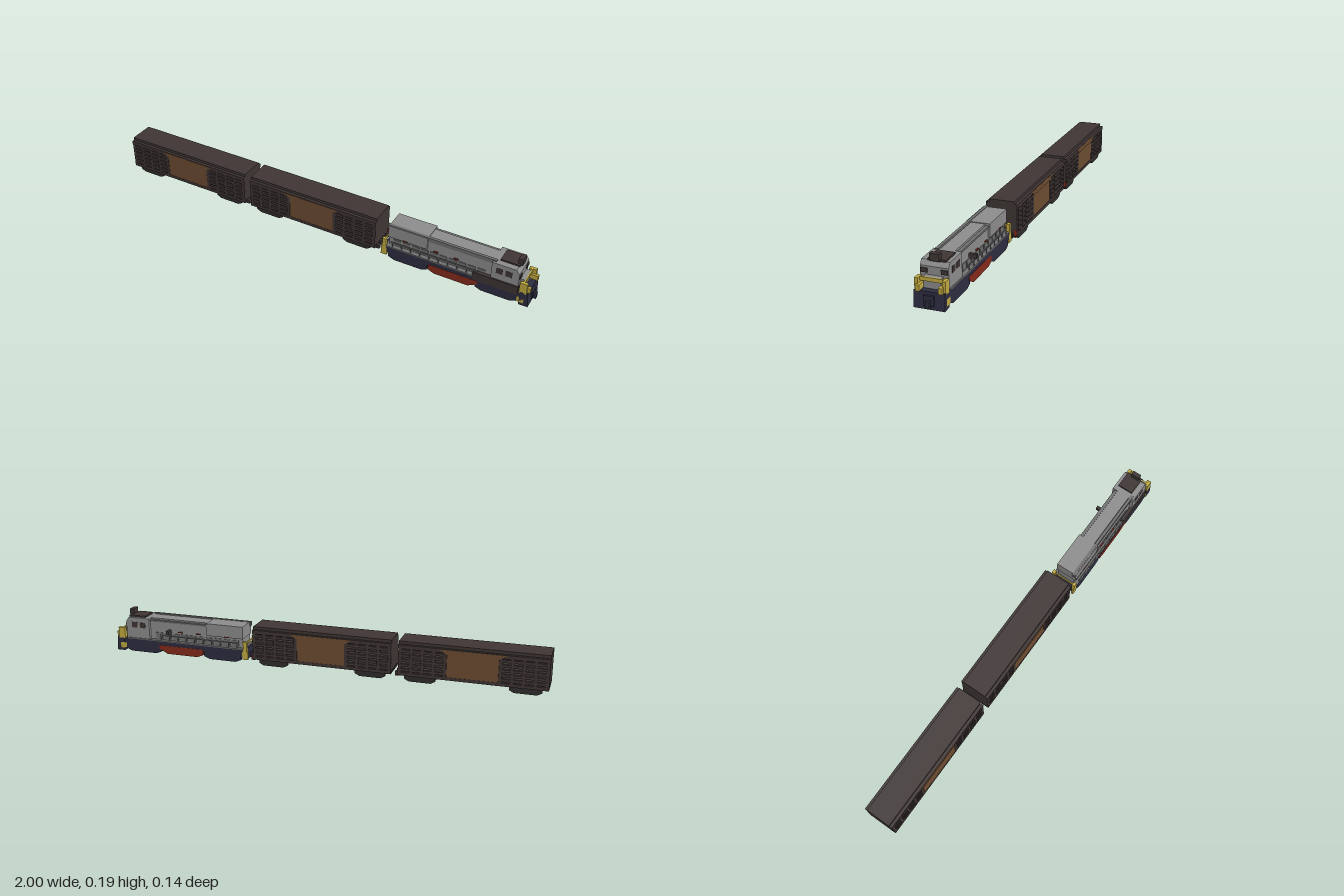
import * as THREE from 'three';

const mat = (name, color) => {
  const m = new THREE.MeshStandardMaterial({ color });
  m.name = name;
  return m;
};

export function createModel() {
  const M = {
    car: mat('dark umber', 0x3e3534),
    under: mat('charcoal', 0x2f2d2c),
    wall: mat('wall grey', 0x484341),
    door: mat('door brown', 0x6c4b31),
    grey: mat('hood grey', 0x8c8c8c),
    light: mat('rail grey', 0x707070),
    navy: mat('navy', 0x2c2c40),
    yellow: mat('yellow', 0xc0aa40),
    red: mat('brick red', 0x842a1b),
  };

  // Box given by its limits on each axis
  function box(parent, name, m, x0, x1, y0, y1, z0, z1) {
    const mesh = new THREE.Mesh(new THREE.BoxGeometry(x1 - x0, y1 - y0, z1 - z0), m);
    mesh.position.set((x0 + x1) / 2, (y0 + y1) / 2, (z0 + z1) / 2);
    mesh.name = name;
    parent.add(mesh);
    return mesh;
  }
  // Outline in x, y extruded along z
  function slab(parent, name, m, pts, z0, z1) {
    const shape = new THREE.Shape(pts.map(p => new THREE.Vector2(p[0], p[1])));
    const mesh = new THREE.Mesh(new THREE.ExtrudeGeometry(shape, { depth: z1 - z0, bevelEnabled: false }), m);
    mesh.position.z = z0;
    mesh.name = name;
    parent.add(mesh);
    return mesh;
  }
  // Two-axle truck with wheels, side frames and a bolster
  function truck(parent, cx, len, top, halfW, frame, axles) {
    const g = new THREE.Group();
    g.name = 'truck';
    g.position.x = cx;
    const h = len / 2;
    for (const s of [-1, 1]) {
      const a = s * halfW, b = s * (halfW - 0.012);
      slab(g, 'sideFrame', frame, [[-h * 0.7, 0.003], [h * 0.7, 0.003], [h, 0.014], [h, top], [-h, top], [-h, 0.014]],
        Math.min(a, b), Math.max(a, b));
    }
    box(g, 'bolster', M.red, -0.02, 0.02, 0.012, top, -halfW + 0.013, halfW - 0.013);
    for (let i = 0; i < axles; i++) {
      const x = (i / (axles - 1) - 0.5) * len * 0.6;
      box(g, 'axle', M.under, x - 0.005, x + 0.005, 0.012, 0.022, -halfW + 0.012, halfW - 0.012);
      for (const s of [-1, 1]) {
        const wheel = new THREE.Mesh(new THREE.CylinderGeometry(0.017, 0.017, 0.008, 12), M.under);
        wheel.rotation.x = Math.PI / 2;
        wheel.position.set(x, 0.017, s * (halfW - 0.018));
        wheel.name = 'wheel';
        g.add(wheel);
      }
    }
    parent.add(g);
  }

  function freightCar(cx) {
    const g = new THREE.Group();
    g.name = 'freightCar';
    g.position.x = cx;
    const L = 0.316;
    box(g, 'body', M.wall, -L + 0.002, L - 0.002, 0.034, 0.16, -0.061, 0.061);
    box(g, 'floor', M.under, -L, L, 0.028, 0.036, -0.062, 0.062);
    box(g, 'roofEdge', M.car, -L, L, 0.15, 0.167, -0.069, 0.069);
    box(g, 'roof', M.car, -L, L, 0.167, 0.18, -0.056, 0.056);
    for (const s of [-1, 1]) {
      const side = (name, m, x0, x1, y0, y1, d0, d1) =>
        box(g, name, m, x0, x1, y0, y1, Math.min(s * d0, s * d1), Math.max(s * d0, s * d1));
      side('sill', M.car, -L, L, 0.03, 0.044, 0.06, 0.068);
      // Sliding door with a flared header
      side('door', M.door, -0.108, 0.108, 0.035, 0.158, 0.06, 0.067);
      slab(g, 'doorHeader', M.door, [[-0.105, 0.142], [0.105, 0.142], [0.14, 0.164], [-0.14, 0.164]],
        s > 0 ? 0.069 : -0.07, s > 0 ? 0.07 : -0.069);
      // Posts and slats on both sides of the door
      for (const e of [-1, 1]) {
        for (let c = 0; c < 5; c++) {
          const x = e * (0.116 + c * 0.048);
          side('post', M.car, x - 0.007, x + 0.007, 0.036, 0.152, 0.06, 0.068);
          if (c === 4) continue;
          const mid = x + e * 0.024;
          for (let r = 0; r < 5; r++) {
            const y = 0.05 + r * 0.021;
            side('slat', M.car, mid - 0.019, mid + 0.019, y, y + 0.012, 0.06, 0.069);
          }
        }
      }
    }
    for (const e of [-1, 1]) {
      truck(g, e * 0.222, 0.135, 0.03, 0.058, M.under, 2);
      box(g, 'endPanel', M.car, e > 0 ? L - 0.003 : -L, e > 0 ? L : -L + 0.003, 0.04, 0.16, -0.066, 0.066);
    }
    // Buffers and coupler at the leading end
    for (const z of [-0.045, -0.015, 0.015, 0.045])
      box(g, 'buffer', M.car, L - 0.004, L + 0.014, 0.022, 0.042, z - 0.007, z + 0.007);
    box(g, 'cornerPlate', M.red, L, L + 0.003, 0.03, 0.055, -0.068, -0.055);
    return g;
  }

  function locomotive() {
    const g = new THREE.Group();
    g.name = 'locomotive';
    g.position.z = 0.007;
    // Frame, trucks and fuel tank
    box(g, 'frame', M.navy, 0.345, 0.965, 0.036, 0.062, -0.06, 0.06);
    box(g, 'walkway', M.light, 0.345, 0.93, 0.062, 0.067, -0.061, 0.061);
    truck(g, 0.45, 0.18, 0.046, 0.06, M.navy, 3);
    truck(g, 0.845, 0.18, 0.046, 0.06, M.navy, 3);
    slab(g, 'fuelTank', M.red, [[0.575, 0.006], [0.725, 0.006], [0.765, 0.028], [0.765, 0.044], [0.545, 0.044], [0.545, 0.018]],
      -0.061, 0.061);
    box(g, 'sideTank', M.car, 0.74, 0.935, 0.046, 0.086, 0.045, 0.0615);
    // Long hood, radiator section and roof strips
    box(g, 'longHood', M.grey, 0.355, 0.82, 0.066, 0.152, -0.042, 0.042);
    box(g, 'radiatorSection', M.grey, 0.352, 0.53, 0.11, 0.167, -0.05, 0.05);
    box(g, 'hoodRoof', M.grey, 0.53, 0.83, 0.15, 0.164, -0.03, 0.03);
    box(g, 'roofStrip', M.light, 0.52, 0.83, 0.15, 0.158, -0.046, -0.032);
    box(g, 'roofStrip', M.light, 0.345, 0.83, 0.15, 0.169, 0.033, 0.046);
    for (const s of [-1, 1]) {
      for (let i = 0; i < 10; i++) {
        const x = 0.375 + i * 0.042;
        box(g, 'hoodDoor', M.light, x, x + 0.034, 0.072, 0.1, s * 0.0435 - 0.002, s * 0.0435 + 0.002);
        box(g, 'railPost', M.grey, x, x + 0.004, 0.066, 0.092, s * 0.058 - 0.002, s * 0.058 + 0.002);
      }
      box(g, 'handrail', M.grey, 0.37, 0.76, 0.09, 0.094, s * 0.058 - 0.002, s * 0.058 + 0.002);
      for (const x of [0.42, 0.56, 0.65]) {
        box(g, 'redMarker', M.red, x, x + 0.02, 0.11, 0.114, s * 0.05 - 0.003, s * 0.05 + 0.003);
      }
      // Cab side windows
      for (const x of [0.835, 0.875])
        box(g, 'sideWindow', M.car, x, x + 0.028, 0.117, 0.143, s * 0.056 - 0.001, s * 0.056 + 0.001);
    }
    box(g, 'exhaustPipe', M.car, 0.708, 0.722, 0.1, 0.118, -0.074, -0.042);
    // Cab and nose
    slab(g, 'cab', M.grey, [[0.815, 0.066], [0.932, 0.066], [0.932, 0.145], [0.918, 0.164], [0.815, 0.164]], -0.056, 0.056);
    box(g, 'cabRoofHatch', M.car, 0.84, 0.922, 0.163, 0.171, -0.042, 0.03);
    box(g, 'horn', M.car, 0.91, 0.93, 0.165, 0.194, -0.02, 0.02);
    box(g, 'nose', M.grey, 0.93, 0.952, 0.066, 0.112, -0.035, 0.035);
    for (const s of [-1, 1]) {
      box(g, 'frontWindow', M.car, 0.931, 0.936, 0.12, 0.137, s * 0.04 - 0.013, s * 0.04 + 0.013);
      // Railings and steps at the front
      box(g, 'frontRail', M.yellow, 0.94, 0.972, 0.062, 0.112, s * 0.054 - 0.007, s * 0.054 + 0.007);
      box(g, 'frontStep', M.yellow, 0.94, 0.984, 0.066, 0.09, s * 0.045 - 0.008, s * 0.045 + 0.008);
      box(g, 'stepEdge', M.yellow, 0.935, 0.965, 0.014, 0.04, s * 0.058 - 0.003, s * 0.058 + 0.003);
      // Railings and steps at the rear
      box(g, 'rearRail', M.yellow, 0.33, 0.348, 0.055, 0.1, s * 0.054 - 0.007, s * 0.054 + 0.007);
      box(g, 'rearStep', M.yellow, 0.325, 0.352, 0.018, 0.055, s * 0.056 - 0.005, s * 0.056 + 0.005);
    }
    box(g, 'noseStripe', M.yellow, 0.95, 0.957, 0.097, 0.112, -0.054, 0.054);
    box(g, 'rearBar', M.yellow, 0.335, 0.34, 0.088, 0.096, -0.054, 0.054);
    // Pilot plates and couplers
    slab(g, 'frontPilot', M.navy, [[0.945, 0.002], [0.985, 0.002], [0.978, 0.068], [0.945, 0.068]], -0.061, 0.061);
    box(g, 'couplerPocket', M.navy, 0.975, 0.988, 0.016, 0.056, -0.021, 0.021);
    box(g, 'coupler', M.navy, 0.985, 1, 0.012, 0.04, -0.008, 0.008);
    box(g, 'rearPilot', M.navy, 0.335, 0.35, 0.014, 0.066, -0.05, 0.05);
    box(g, 'coupler', M.navy, 0.32, 0.336, 0.014, 0.04, -0.008, 0.008);
    return g;
  }

  const train = new THREE.Group();
  train.name = 'train';
  train.add(freightCar(-0.684), freightCar(-0.021), locomotive());
  return train;
}
